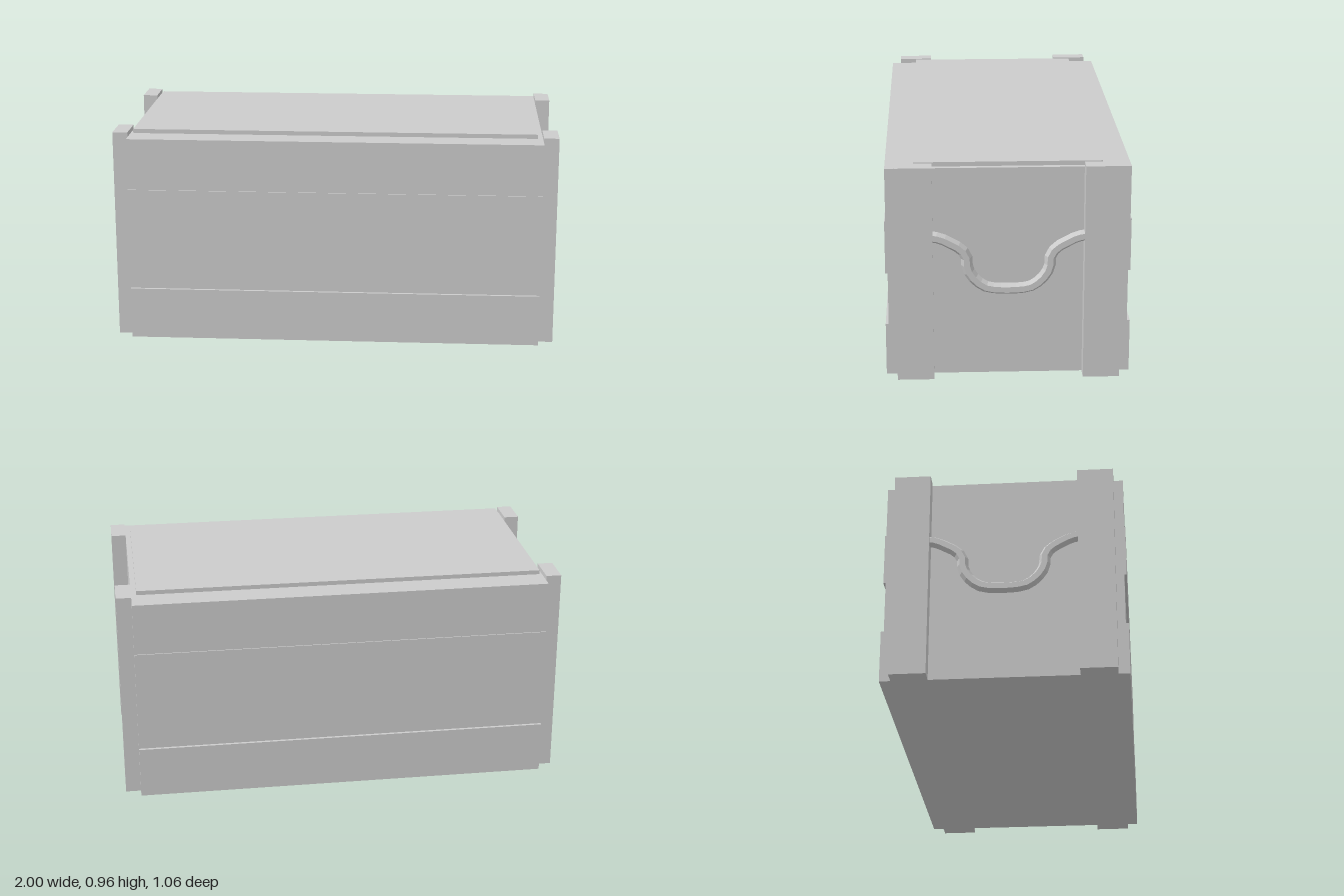
import * as THREE from 'three';

export function createModel() {
  const crate = new THREE.Group();
  crate.name = 'crate';
  const material = new THREE.MeshStandardMaterial({ color: 0xcccccc, flatShading: true });

  const add = (name, geometry, x = 0, y = 0, z = 0) => {
    const mesh = new THREE.Mesh(geometry, material);
    mesh.name = name;
    mesh.position.set(x, y, z);
    crate.add(mesh);
    return mesh;
  };
  // Box given by its lower and upper corners
  const addBox = (name, [x0, y0, z0], [x1, y1, z1]) =>
    add(name, new THREE.BoxGeometry(x1 - x0, y1 - y0, z1 - z0),
      (x0 + x1) / 2, (y0 + y1) / 2, (z0 + z1) / 2);

  // Body and raised lid
  addBox('body', [-0.932, 0, -0.48], [0.932, 0.935, 0.48]);
  addBox('lid', [-0.92, 0.92, -0.4], [0.908, 0.954, 0.4]);

  // Four planks on front and back, each standing out a little differently
  const plankFaces = [0.529, 0.516, 0.526, 0.521];
  const plankHeight = 0.935 / plankFaces.length;
  plankFaces.forEach((face, i) => {
    const y0 = i * plankHeight, y1 = y0 + plankHeight;
    addBox('frontPlank' + (i + 1), [-0.932, y0, 0.48], [0.932, y1, face]);
    addBox('backPlank' + (i + 1), [-0.932, y0, -face], [0.932, y1, -0.48]);
  });

  // Rope handle: hexagonal section swept along a sagging curve
  const half = [[0.34, 0.643], [0.298, 0.638], [0.25, 0.615], [0.201, 0.585], [0.179, 0.55],
    [0.175, 0.501], [0.142, 0.448], [0.096, 0.415], [0.062, 0.408]];
  const points = [...half, [0, 0.405], ...half.map(([z, y]) => [-z, y]).reverse()]
    .map(([z, y]) => new THREE.Vector3(0, y, z));
  const section = new THREE.Shape(Array.from({ length: 6 }, (_, i) => {
    const a = (i + 0.5) * Math.PI / 3;
    return new THREE.Vector2(0.025 * Math.cos(a), 0.025 * Math.sin(a));
  }));
  const handle = new THREE.ExtrudeGeometry(section, {
    steps: 28, bevelEnabled: false, extrudePath: new THREE.CatmullRomCurve3(points),
  });

  // Corner posts and a handle at each end
  for (const [side, s] of [['left', 1], ['right', -1]]) {
    for (const [end, e] of [['Front', 1], ['Back', -1]]) {
      add(side + end + 'Post', new THREE.BoxGeometry(0.068, 0.956, 0.158),
        s * 0.966, 0.478, e * 0.401);
    }
    add(side + 'Handle', handle, s * 0.968);
  }
  return crate;
}
